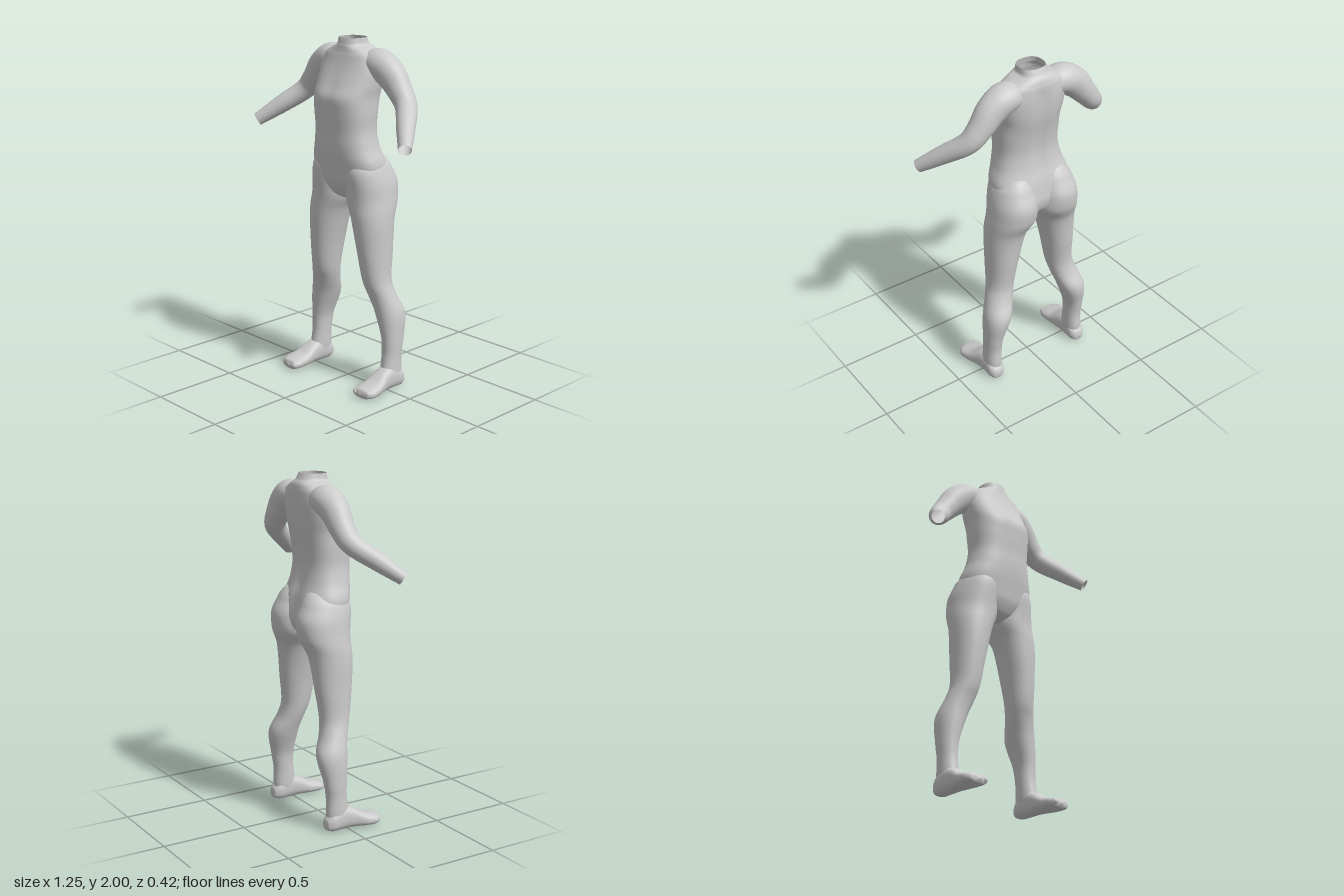
import * as THREE from 'three';

const material = new THREE.MeshStandardMaterial({ color: 0xcccccc, side: THREE.DoubleSide });
const X = new THREE.Vector3(1, 0, 0), Y = new THREE.Vector3(0, 1, 0), Z = new THREE.Vector3(0, 0, 1);
const DOWN = Y.clone().negate();

// Smooth skin over cross-sections [x, y, z, radiusU, radiusV].
// Sections face `axis`, or follow the path when axis is null.
function loft(name, rows, { side = 1, axis = null, hint = Z, power = 2, steps = 5, segments = 36, shape = null }) {
  const path = new THREE.CatmullRomCurve3(rows.map(r => new THREE.Vector3(r[0] * side, r[1], r[2])));
  const radii = new THREE.CatmullRomCurve3(rows.map(r => new THREE.Vector3(r[3], r[4], 0)));
  const rings = (rows.length - 1) * steps;
  const positions = [], index = [];
  const bend = v => Math.sign(v) * Math.abs(v) ** (2 / power);
  for (let i = 0; i <= rings; i++) {
    const t = i / rings;
    const center = path.getPoint(t), radius = radii.getPoint(t);
    const T = axis || path.getTangent(t);
    const U = hint.clone().cross(T).normalize(), V = T.clone().cross(U);
    for (let j = 0; j < segments; j++) {
      const a = (j / segments) * Math.PI * 2;
      const p = center.clone()
        .addScaledVector(U, bend(Math.cos(a)) * Math.max(radius.x, 0.001))
        .addScaledVector(V, bend(Math.sin(a)) * Math.max(radius.y, 0.001));
      if (shape) shape(p, center);
      positions.push(p.x, p.y, p.z);
      if (i === rings) continue;
      const k = (j + 1) % segments, n = i * segments;
      index.push(n + j, n + k, n + segments + j, n + k, n + segments + k, n + segments + j);
    }
  }
  const geometry = new THREE.BufferGeometry();
  geometry.setAttribute('position', new THREE.Float32BufferAttribute(positions, 3));
  geometry.setIndex(index);
  geometry.computeVertexNormals();
  const mesh = new THREE.Mesh(geometry, material);
  mesh.name = name;
  return mesh;
}

// Neck opening down to the crotch
const torsoRows = [
  [0, 2.0, -0.035, 0.075, 0.072],
  [0, 1.965, -0.04, 0.082, 0.085],
  [0, 1.945, -0.045, 0.125, 0.095],
  [0, 1.91, -0.045, 0.185, 0.105],
  [0, 1.84, -0.035, 0.205, 0.12],
  [0, 1.75, -0.01, 0.2, 0.14],
  [0, 1.68, 0.012, 0.19, 0.152],
  [0, 1.6, 0.018, 0.19, 0.142],
  [0, 1.5, 0.018, 0.187, 0.132],
  [0, 1.4, 0.01, 0.205, 0.135],
  [0, 1.3, -0.012, 0.235, 0.142],
  [0, 1.2, -0.03, 0.23, 0.14],
  [0, 1.12, -0.04, 0.14, 0.11],
  [0, 1.09, -0.04, 0.05, 0.06],
  [0, 1.085, -0.04, 0.002, 0.002],
];

// Buttock and thigh down to the ankle
const legRows = [
  [0.11, 1.37, -0.06, 0.002, 0.002],
  [0.115, 1.355, -0.055, 0.06, 0.07],
  [0.125, 1.3, -0.03, 0.108, 0.138],
  [0.135, 1.2, -0.05, 0.128, 0.16],
  [0.142, 1.1, -0.05, 0.134, 0.15],
  [0.17, 1.0, -0.028, 0.115, 0.127],
  [0.195, 0.8, -0.022, 0.09, 0.107],
  [0.212, 0.63, -0.025, 0.078, 0.085],
  [0.233, 0.55, -0.045, 0.08, 0.08],
  [0.265, 0.45, -0.075, 0.079, 0.09],
  [0.293, 0.3, -0.07, 0.055, 0.07],
  [0.295, 0.2, -0.062, 0.05, 0.062],
  [0.297, 0.1, -0.055, 0.05, 0.07],
  [0.298, 0.04, -0.05, 0.045, 0.06],
];

// Heel to toe
const footRows = [
  [0.3, 0.045, -0.14, 0.002, 0.002],
  [0.3, 0.045, -0.134, 0.03, 0.03],
  [0.3, 0.058, -0.1, 0.05, 0.055],
  [0.3, 0.073, -0.03, 0.052, 0.07],
  [0.302, 0.065, 0.03, 0.058, 0.06],
  [0.308, 0.044, 0.1, 0.07, 0.04],
  [0.31, 0.036, 0.16, 0.073, 0.032],
  [0.305, 0.032, 0.195, 0.058, 0.026],
  [0.302, 0.03, 0.208, 0.002, 0.002],
];

// Shoulder to open wrist
const armRows = [
  [0.1, 1.86, -0.055, 0.07, 0.075],
  [0.19, 1.865, -0.06, 0.085, 0.09],
  [0.27, 1.815, -0.06, 0.085, 0.08],
  [0.34, 1.735, -0.06, 0.07, 0.07],
  [0.4, 1.665, -0.045, 0.06, 0.063],
  [0.5, 1.57, 0.06, 0.052, 0.052],
  [0.595, 1.48, 0.165, 0.038, 0.036],
];

// Spine groove at the back and a shallow breastbone line in front
function torsoShape(p, center) {
  const groove = Math.exp(-((p.x / 0.035) ** 2));
  const fade = THREE.MathUtils.smoothstep(1.93 - p.y, 0, 0.1);
  if (p.z < center.z) p.z += 0.014 * groove * fade;
  else p.z -= 0.006 * groove * fade * Math.exp(-(((p.y - 1.72) / 0.1) ** 2));
}

function createToes(side) {
  const toes = new THREE.Group();
  toes.name = 'toes';
  for (let i = 0; i < 5; i++) {
    const size = i === 0 ? 0.021 : 0.017 - i * 0.0008;
    const toe = new THREE.Mesh(new THREE.SphereGeometry(size, 16, 12), material);
    toe.name = 'toe';
    toe.scale.set(1, 1.1, 1.6);
    toe.position.set(side * (0.263 + i * 0.024), 0.034, 0.18 - 0.0035 * (i - 1) ** 2);
    toes.add(toe);
  }
  return toes;
}

export function createModel() {
  const model = new THREE.Group();
  model.name = 'body';
  model.add(loft('torso', torsoRows, { axis: DOWN, power: 2.5, segments: 56, shape: torsoShape }));
  for (const [side, label] of [[1, 'left'], [-1, 'right']]) {
    model.add(
      loft(label + 'Arm', armRows, { side }),
      loft(label + 'Leg', legRows, { side, axis: DOWN, power: 2.15 }),
      loft(label + 'Foot', footRows, { side, axis: Z, hint: Y, power: 2.5 }),
      createToes(side),
    );
  }
  return model;
}
